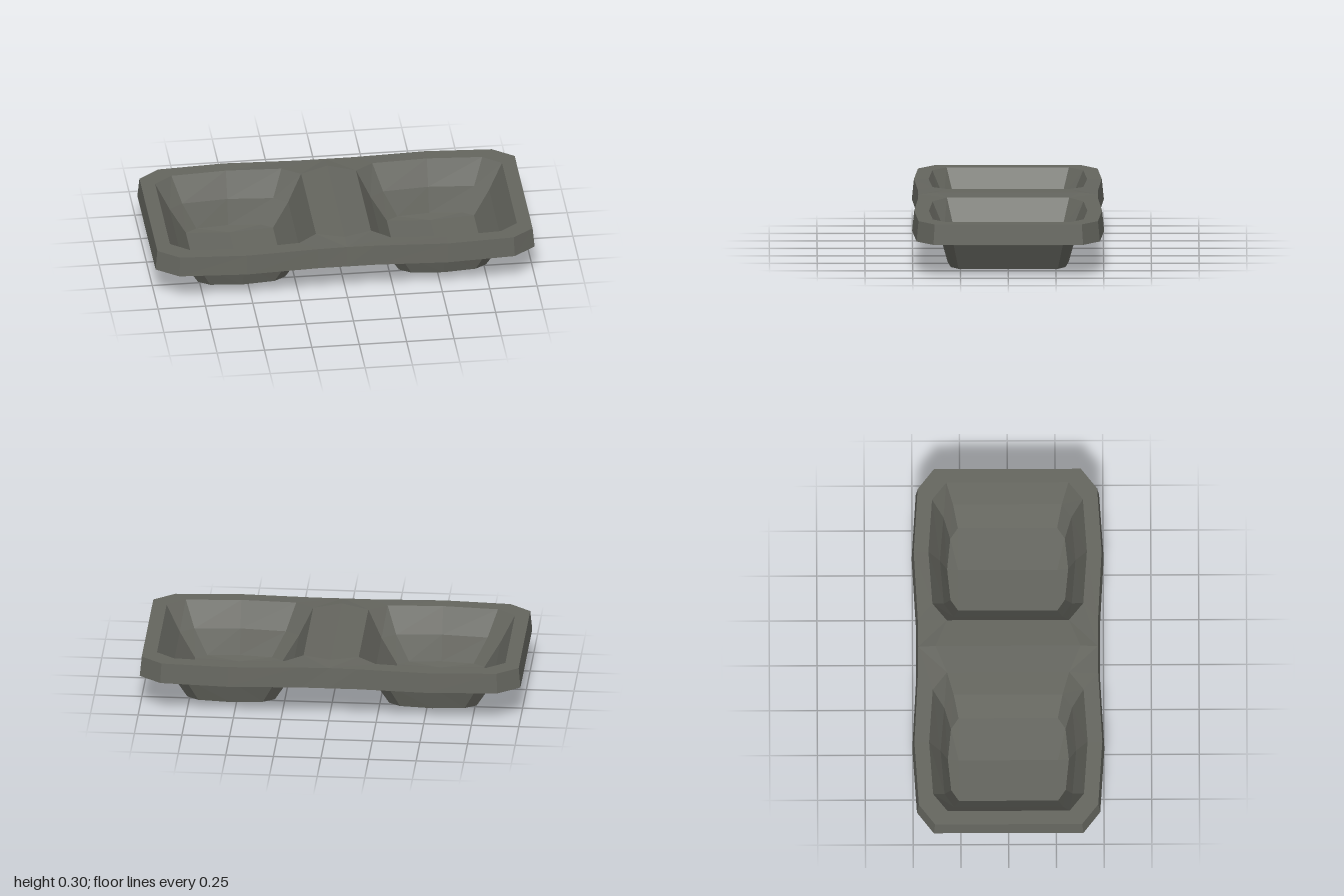
import * as THREE from 'three';

// Adds the z-mirrored half, so a front run of points becomes a full ring
const ring = (pts) => [...pts, ...pts.slice().reverse().map(([x, y, z]) => [x, y, -z])];

// Faceted band from an outer ring to an inner ring of equal length
function loft(a, b, closed = true) {
  const out = [];
  const n = a.length;
  for (let i = 0; i < (closed ? n : n - 1); i++) {
    const j = (i + 1) % n;
    out.push(...a[i], ...a[j], ...b[j], ...a[i], ...b[j], ...b[i]);
  }
  const g = new THREE.BufferGeometry();
  g.setAttribute('position', new THREE.Float32BufferAttribute(out, 3));
  g.computeVertexNormals();
  return g;
}

export function createModel() {
  const group = new THREE.Group();
  group.name = 'twinTray';
  const grey = new THREE.MeshStandardMaterial({ color: 0x64655e, flatShading: true, side: THREE.DoubleSide });
  grey.name = 'warm grey';

  // Rings of one half, running from the centre ridge to the outer end
  const rimOuter = ring([
    [0, 0.3, 0.38], [0, 0.29, 0.47], [0.15, 0.289, 0.472],
    [0.53, 0.287, 0.492], [0.88, 0.287, 0.47], [0.99, 0.287, 0.385],
  ]);
  const skirtFoot = ring([
    [0, 0.18, 0.482], [0.15, 0.18, 0.482], [0.53, 0.18, 0.503],
    [0.885, 0.18, 0.48], [1, 0.18, 0.392],
  ]);
  const opening = ring([
    [0.145, 0.295, 0.32], [0.24, 0.29, 0.395], [0.53, 0.287, 0.415],
    [0.82, 0.287, 0.395], [0.915, 0.287, 0.32],
  ]);
  const middle = ring([
    [0.217, 0.15, 0.285], [0.29, 0.15, 0.335], [0.53, 0.15, 0.355],
    [0.77, 0.15, 0.335], [0.843, 0.15, 0.285],
  ]);
  const floorEdge = ring([
    [0.3, 0.015, 0.26], [0.36, 0.015, 0.3], [0.53, 0.015, 0.317],
    [0.7, 0.015, 0.3], [0.76, 0.015, 0.26],
  ]);
  // The floor sags to a keel line at its middle
  const keel = floorEdge.map(([, , z]) => [0.53, 0.003, 0.26 * Math.sign(z)]);

  // Opening ring with its first corner doubled to meet the ridge points
  const rimInner = [opening[0], ...opening, opening[opening.length - 1]];

  for (const side of ['left', 'right']) {
    const half = new THREE.Group();
    half.name = side + 'Half';
    const add = (name, geometry) => {
      const mesh = new THREE.Mesh(geometry, grey);
      mesh.name = name;
      half.add(mesh);
    };
    add('rim', loft(rimOuter, rimInner));
    add('skirt', loft(skirtFoot, rimOuter.slice(1, -1), false));
    add('upperBowlWall', loft(opening, middle));
    add('lowerBowlWall', loft(middle, floorEdge));
    add('bowlFloor', loft(floorEdge, keel));
    if (side === 'right') half.rotation.y = Math.PI;
    group.add(half);
  }
  return group;
}
